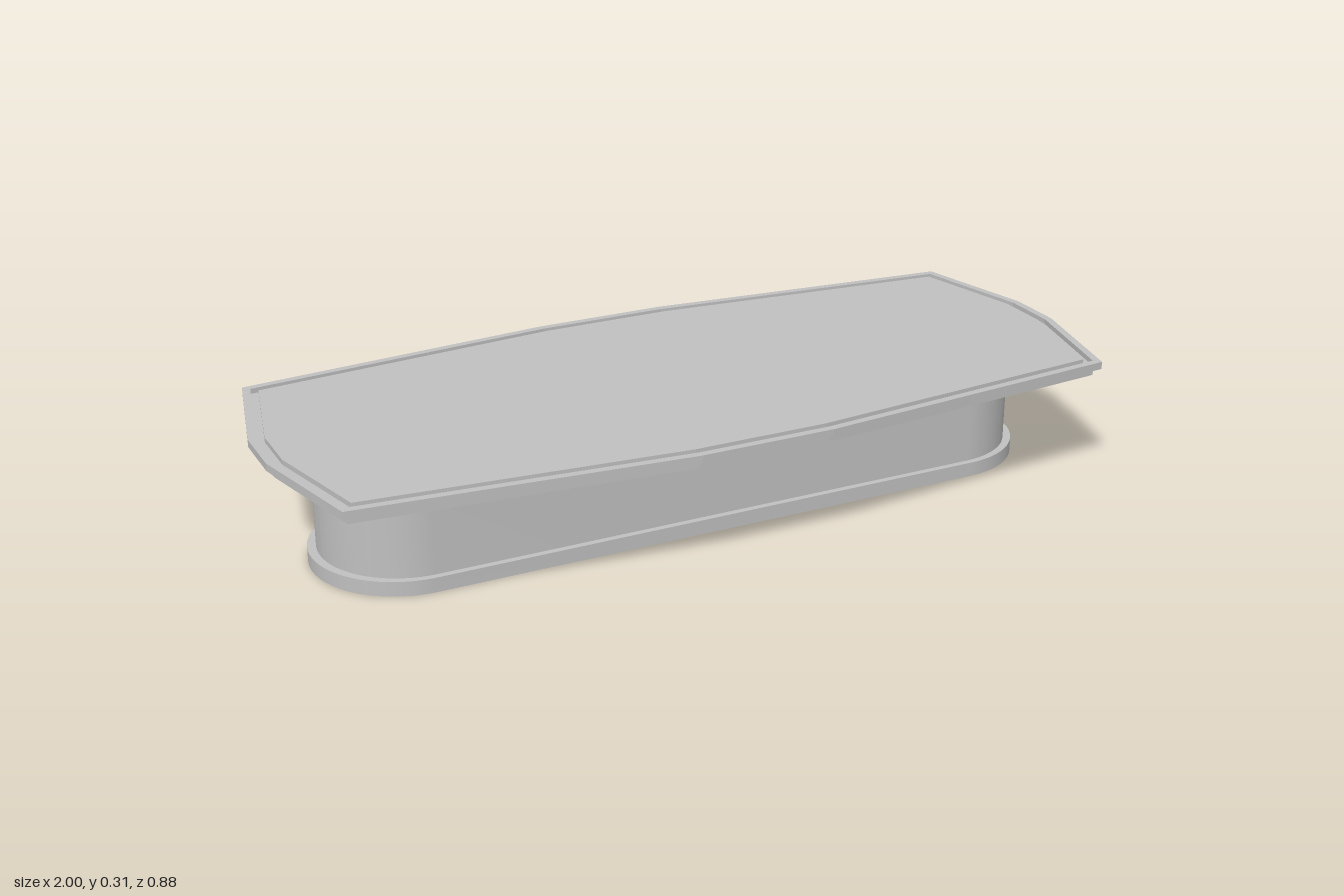
import * as THREE from 'three';
import { toCreasedNormals } from 'three/addons/utils/BufferGeometryUtils.js';

// Twelve-sided tabletop outline, moved inward by d with mitred corners
function topOutline(d) {
  const q = [[1, 0.07], [0.93, 0.37], [0.16, 0.44]];
  const p = [
    ...q,
    ...q.map(([x, y]) => [-x, y]).reverse(),
    ...q.map(([x, y]) => [-x, -y]),
    ...q.map(([x, y]) => [x, -y]).reverse(),
  ].map(([x, y]) => new THREE.Vector2(x, y));
  const n = p.length;
  const inward = (a, b) => new THREE.Vector2(a.y - b.y, b.x - a.x).normalize();
  return p.map((v, i) => {
    const n1 = inward(p[(i + n - 1) % n], v);
    const n2 = inward(v, p[(i + 1) % n]);
    const m = n1.clone().add(n2);
    return v.clone().addScaledVector(m, d / (1 + n1.dot(n2)));
  });
}

// Long slot shape with semicircular ends
function slotShape(halfLength, radius) {
  const c = halfLength - radius;
  const s = new THREE.Shape();
  s.moveTo(-c, -radius);
  s.lineTo(c, -radius);
  s.absarc(c, 0, radius, -Math.PI / 2, Math.PI / 2, false);
  s.lineTo(-c, radius);
  s.absarc(-c, 0, radius, Math.PI / 2, Math.PI * 1.5, false);
  return s;
}

// Upright slab of a shape between two heights
function slab(shape, y0, y1) {
  return new THREE.ExtrudeGeometry(shape, { depth: y1 - y0, bevelEnabled: false, curveSegments: 32 })
    .rotateX(-Math.PI / 2)
    .translate(0, y0, 0);
}

export function createModel() {
  const group = new THREE.Group();
  const grey = new THREE.MeshStandardMaterial({ color: 0xc0c0c0 });
  grey.name = 'plainGrey';

  const add = (name, geometry) => {
    const mesh = new THREE.Mesh(geometry, grey);
    mesh.name = name;
    group.add(mesh);
  };

  // Pedestal: plinth and rounded body
  add('plinth', toCreasedNormals(slab(slotShape(0.9, 0.215), 0, 0.035), 0.5));
  add('pedestalBody', toCreasedNormals(slab(slotShape(0.88, 0.2), 0.035, 0.272), 0.5));

  // Tabletop: stepped underside, upper board, grooved border
  add('lowerBoard', slab(new THREE.Shape(topOutline(0.016)), 0.272, 0.29));
  add('upperBoard', slab(new THREE.Shape(topOutline(0)), 0.29, 0.296));
  const rim = new THREE.Shape(topOutline(0));
  rim.holes.push(new THREE.Path(topOutline(0.018).reverse()));
  add('rim', slab(rim, 0.296, 0.308));
  add('tableSurface', slab(new THREE.Shape(topOutline(0.036)), 0.296, 0.308));

  return group;
}
